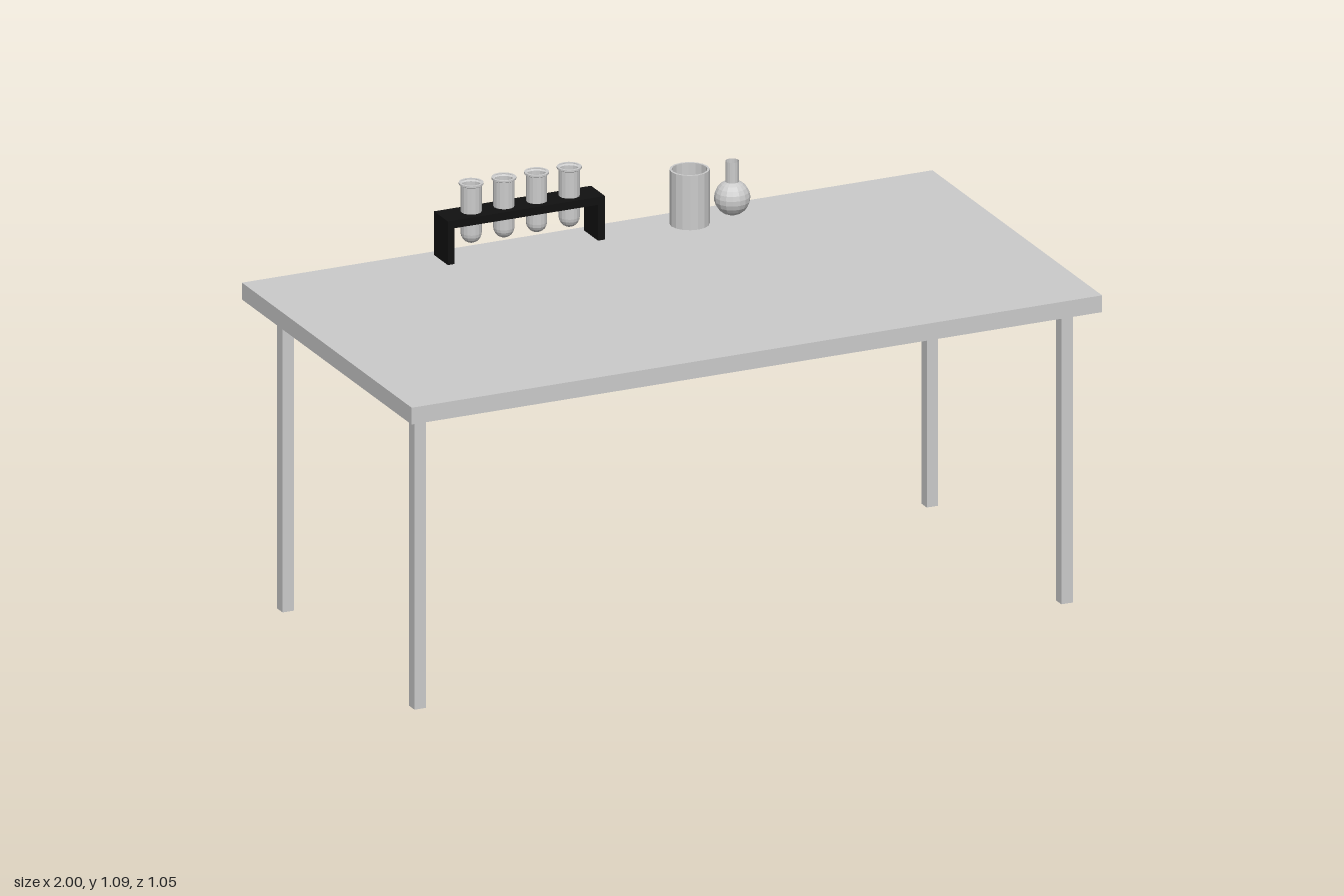
import * as THREE from 'three';

const grey = new THREE.MeshStandardMaterial({ color: 0xcccccc });
const glass = new THREE.MeshStandardMaterial({ color: 0xcccccc, flatShading: true, side: THREE.DoubleSide });
const black = new THREE.MeshStandardMaterial({ color: 0x111111 });

const TOP = 0.887; // height of the work surface

function add(parent, name, geometry, material, x, y, z) {
  const mesh = new THREE.Mesh(geometry, material);
  mesh.name = name;
  mesh.position.set(x, y, z);
  parent.add(mesh);
  return mesh;
}

const lathe = (points, sides = 16) =>
  new THREE.LatheGeometry(points.map(([r, y]) => new THREE.Vector2(r, y)), sides);

// Points of a circular arc in the lathe profile; angles are measured from straight down
function arc(radius, centreY, from, to, steps) {
  return Array.from({ length: steps + 1 }, (_, i) => {
    const a = from + ((to - from) * i) / steps;
    return [radius * Math.sin(a), centreY - radius * Math.cos(a)];
  });
}

function createTable() {
  const table = new THREE.Group();
  table.name = 'table';
  add(table, 'tabletop', new THREE.BoxGeometry(2, 0.047, 1.046), grey, 0, TOP - 0.0235, 0);
  const legGeometry = new THREE.BoxGeometry(0.033, 0.84, 0.033);
  for (const [x, z] of [[-0.927, 0.404], [0.947, 0.404], [-0.927, -0.409], [0.939, -0.409]]) {
    add(table, 'tableLeg', legGeometry, grey, x, 0.42, z);
  }
  return table;
}

function createRack() {
  const rack = new THREE.Group();
  rack.name = 'testTubeRack';
  const z = -0.456, depth = 0.085;
  add(rack, 'rackShelf', new THREE.BoxGeometry(0.455, 0.022, depth), black, -0.2275, 0.998, z);
  for (const x of [-0.445, -0.01]) {
    add(rack, 'rackSide', new THREE.BoxGeometry(0.02, 0.11, depth), black, x, TOP + 0.055, z);
  }
  // Round-bottomed tubes with a flared lip
  const tubeGeometry = lathe([
    ...arc(0.028, 0.028, 0, Math.PI / 2, 5),
    [0.028, 0.16], [0.033, 0.163], [0.033, 0.168], [0.027, 0.168],
  ]);
  for (let i = 0; i < 4; i++) {
    add(rack, 'testTube', tubeGeometry, glass, -0.366 + i * 0.0947, 0.922, z - 0.003);
  }
  return rack;
}

export function createModel() {
  const model = new THREE.Group();
  model.name = 'laboratoryTable';
  model.add(createTable(), createRack());

  // Open beaker with a wall and a floor
  add(model, 'beaker', lathe([
    [0, 0], [0.053, 0], [0.053, 0.152], [0.047, 0.152], [0.047, 0.006], [0, 0.006],
  ]), glass, 0.253, TOP, -0.43);

  // Round flask with a straight open neck
  const neck = 0.018, bulb = 0.048;
  add(model, 'flask', lathe([
    ...arc(bulb, bulb, 0, Math.PI - Math.asin(neck / bulb), 10),
    [neck, 0.15],
  ]), glass, 0.383, TOP, -0.444);

  return model;
}
